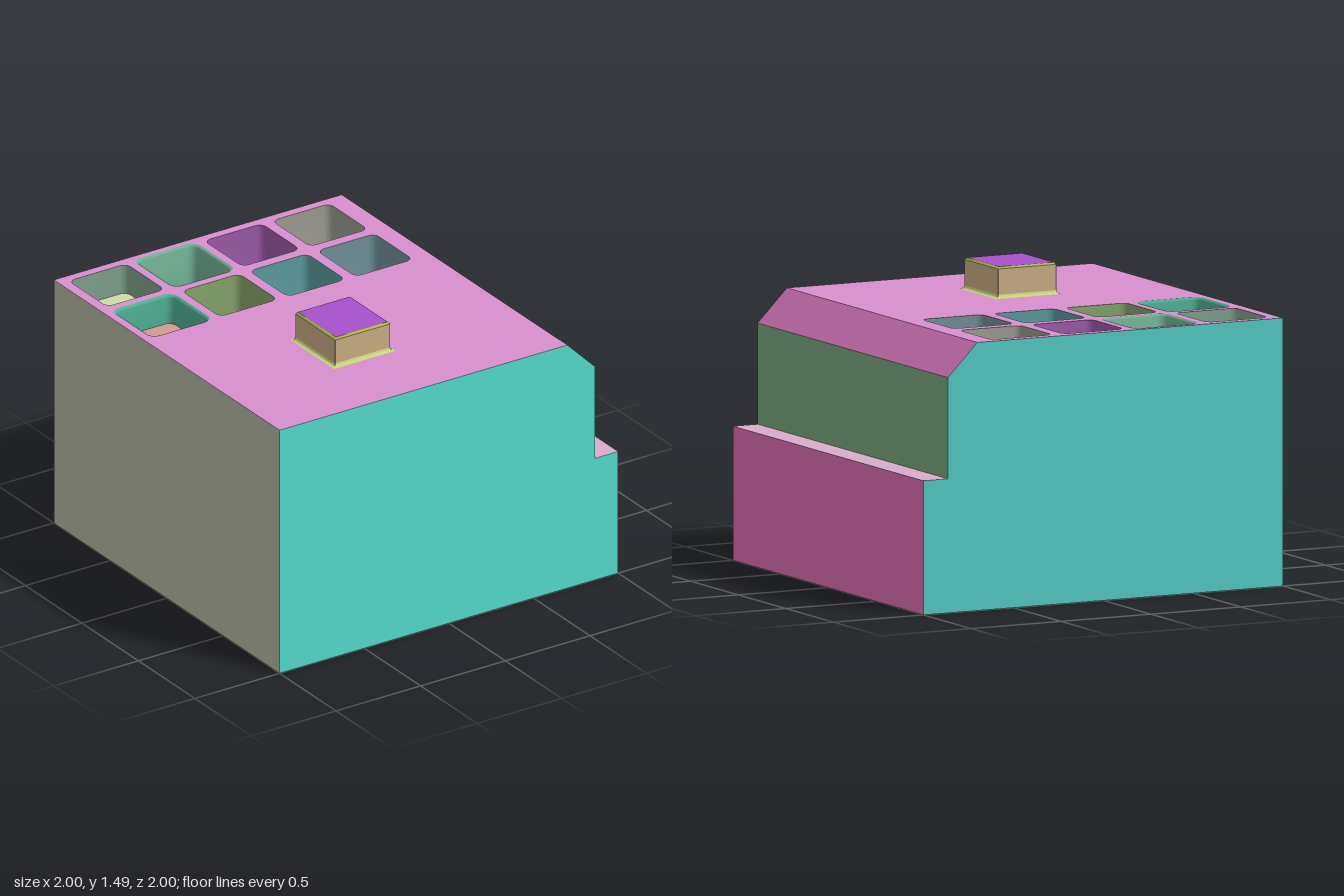
import * as THREE from 'three';
import { toCreasedNormals } from 'three/addons/utils/BufferGeometryUtils.js';

const TOP = 1.333;

function part(name, geometry, color, parent) {
  const mesh = new THREE.Mesh(geometry, new THREE.MeshStandardMaterial({ color }));
  mesh.name = name;
  parent.add(mesh);
  return mesh;
}

// Rounded rectangle outline in the x,z plane
function outline(hx, hz, r, steps = 6) {
  const pts = [];
  for (let q = 0; q < 4; q++) {
    const sx = q === 0 || q === 3 ? 1 : -1;
    const sz = q < 2 ? 1 : -1;
    for (let i = 0; i <= steps; i++) {
      const t = (q + i / steps) * Math.PI / 2;
      pts.push([sx * (hx - r) + r * Math.cos(t), sz * (hz - r) + r * Math.sin(t)]);
    }
  }
  return pts;
}

// Horizontal face from an outline
function flat(pts, y) {
  const shape = new THREE.Shape(pts.map(([x, z]) => new THREE.Vector2(x, -z)));
  return new THREE.ShapeGeometry(shape).rotateX(-Math.PI / 2).translate(0, y, 0);
}

// Skin through stacked rings, listed from bottom to top
function loft(rings, inward) {
  const pos = [];
  for (let k = 0; k + 1 < rings.length; k++) {
    const lo = rings[k], hi = rings[k + 1], n = lo.pts.length;
    for (let i = 0; i < n; i++) {
      const j = (i + 1) % n;
      const at = (ring, m) => [ring.pts[m][0], ring.y, ring.pts[m][1]];
      const a = at(lo, i), b = at(lo, j), c = at(hi, j), d = at(hi, i);
      pos.push(...(inward ? [a, b, c, a, c, d] : [a, c, b, a, d, c]).flat());
    }
  }
  const g = new THREE.BufferGeometry();
  g.setAttribute('position', new THREE.Float32BufferAttribute(pos, 3));
  g.computeVertexNormals();
  return toCreasedNormals(g, 0.6);
}

// Pockets: lip rounds the rim, floorRound blends wall and floor
const HALF = 0.17, CORNER = 0.04;
const pockets = [
  { x: -0.775, z: -0.78, depth: 0.155, wall: 0x7fa08c, floor: 0xccdda5 },
  { x: -0.375, z: -0.78, depth: 0.33, lip: 0.017, wall: 0x6fae92, floor: 0xdaa2b8 },
  { x: 0.025, z: -0.78, depth: 0.33, floorRound: 0.008, wall: 0x9a5aa6, floor: 0xa2c80e },
  { x: 0.425, z: -0.78, depth: 0.33, floorRound: 0.008, wall: 0x9a9a90, floor: 0xd84c9f },
  { x: -0.775, z: -0.38, depth: 0.155, lip: 0.014, wall: 0x4fae92, floor: 0xd09a90 },
  { x: -0.375, z: -0.38, depth: 0.33, wall: 0x84a46a, floor: 0xb1ab79 },
  { x: 0.025, z: -0.38, depth: 0.33, floorRound: 0.036, wall: 0x5a9a9c, floor: 0x54d480 },
  { x: 0.425, z: -0.38, depth: 0.33, floorRound: 0.036, wall: 0x6f8f98, floor: 0xb3d3b1 },
];

const ring = (offset, y) => ({ pts: outline(HALF + offset, HALF + offset, CORNER + offset), y });

function pocketRings({ depth, lip = 0, floorRound = 0 }) {
  const rings = [];
  const n = 4;
  for (let i = floorRound ? 0 : n; i <= n; i++) {
    const t = i / n * Math.PI / 2;
    rings.push(ring(-floorRound * (1 - Math.sin(t)), -depth + floorRound * (1 - Math.cos(t))));
  }
  for (let i = lip ? 0 : n; i <= n; i++) {
    const t = i / n * Math.PI / 2;
    rings.push(ring(lip * (1 - Math.cos(t)), -lip + lip * Math.sin(t)));
  }
  return rings;
}

function addPocket(p, parent) {
  const g = new THREE.Group();
  g.name = 'pocket';
  g.position.set(p.x, TOP, p.z);
  const rings = pocketRings(p);
  part('pocketWall', loft(rings, true), p.wall, g);
  part('pocketFloor', flat(rings[0].pts, -p.depth), p.floor, g);
  parent.add(g);
}

function addBody(parent) {
  // Front profile, counterclockwise, with the colour of the wall along each edge
  const profile = [
    [-1, 0, 0xd06a9c, 'base'], [1, 0, 0xdd6eb0, 'lowerSide'],
    [1, 0.667, 0xdaaccb, 'ledge'], [0.863, 0.667, 0x79a67f, 'upperSide'],
    [0.863, 1.17, 0xd072b7, 'bevel'], [0.7, TOP, 0xd68fce, 'topFace'],
    [-1, TOP, 0xb5b7a2, 'leftoverSide'],
  ];
  profile[6][3] = 'plainSide';

  // Front and back
  const shape = new THREE.Shape(profile.map(([x, y]) => new THREE.Vector2(x, y)));
  part('frontFace', new THREE.ShapeGeometry(shape).translate(0, 0, 1), 0x52dac9, parent);
  const mirrored = new THREE.Shape(profile.map(([x, y]) => new THREE.Vector2(-x, y)));
  part('backFace', new THREE.ShapeGeometry(mirrored).rotateY(Math.PI).translate(0, 0, -1), 0x52c9c0, parent);

  // Walls along the profile; the top is made separately with its openings
  profile.forEach(([ax, ay, color, name], i) => {
    if (name === 'topFace') return;
    const [bx, by] = profile[(i + 1) % profile.length];
    const g = new THREE.BufferGeometry();
    g.setAttribute('position', new THREE.Float32BufferAttribute(
      [ax, ay, 1, ax, ay, -1, bx, by, -1, bx, by, 1], 3));
    g.setIndex([0, 1, 2, 0, 2, 3]);
    g.computeVertexNormals();
    part(name, g, color, parent);
  });

  // Top with pocket openings
  const top = new THREE.Shape([[-1, -1], [0.7, -1], [0.7, 1], [-1, 1]].map(([x, y]) => new THREE.Vector2(x, y)));
  for (const p of pockets) {
    const rim = pocketRings(p).at(-1).pts;
    top.holes.push(new THREE.Path(rim.map(([x, z]) => new THREE.Vector2(p.x + x, -(p.z + z)))));
  }
  part('topFace', new THREE.ShapeGeometry(top).rotateX(-Math.PI / 2).translate(0, TOP, 0), 0xd68fce, parent);
}

// Raised block with a flared foot and a bevelled top edge
function addBlock(parent) {
  const g = new THREE.Group();
  g.name = 'raisedBlock';
  g.position.set(-0.22, TOP, 0.39);
  const level = (offset, y) => ({ pts: outline(0.163 + offset, 0.177 + offset, 0.002, 1), y });
  const flare = 0.018, height = 0.156, bevel = 0.01;
  const foot = [];
  for (let i = 0; i <= 4; i++) {
    const t = i / 4 * Math.PI / 2;
    foot.push(level(flare * (1 - Math.sin(t)), flare * (1 - Math.cos(t))));
  }
  const shoulder = level(0, height - bevel), crown = level(-bevel, height);
  part('blockFoot', loft(foot, false), 0xc9d67c, g);
  part('blockSides', loft([foot[4], shoulder], false), 0xc8ad84, g);
  part('blockBevel', loft([shoulder, crown], false), 0xa5b83c, g);
  part('blockTop', flat(crown.pts, height), 0xa651cc, g);
  parent.add(g);
}

export function createModel() {
  const model = new THREE.Group();
  model.name = 'pocketedBlock';
  const body = new THREE.Group();
  body.name = 'body';
  model.add(body);
  addBody(body);
  pockets.forEach((p) => addPocket(p, model));
  addBlock(model);
  return model;
}
